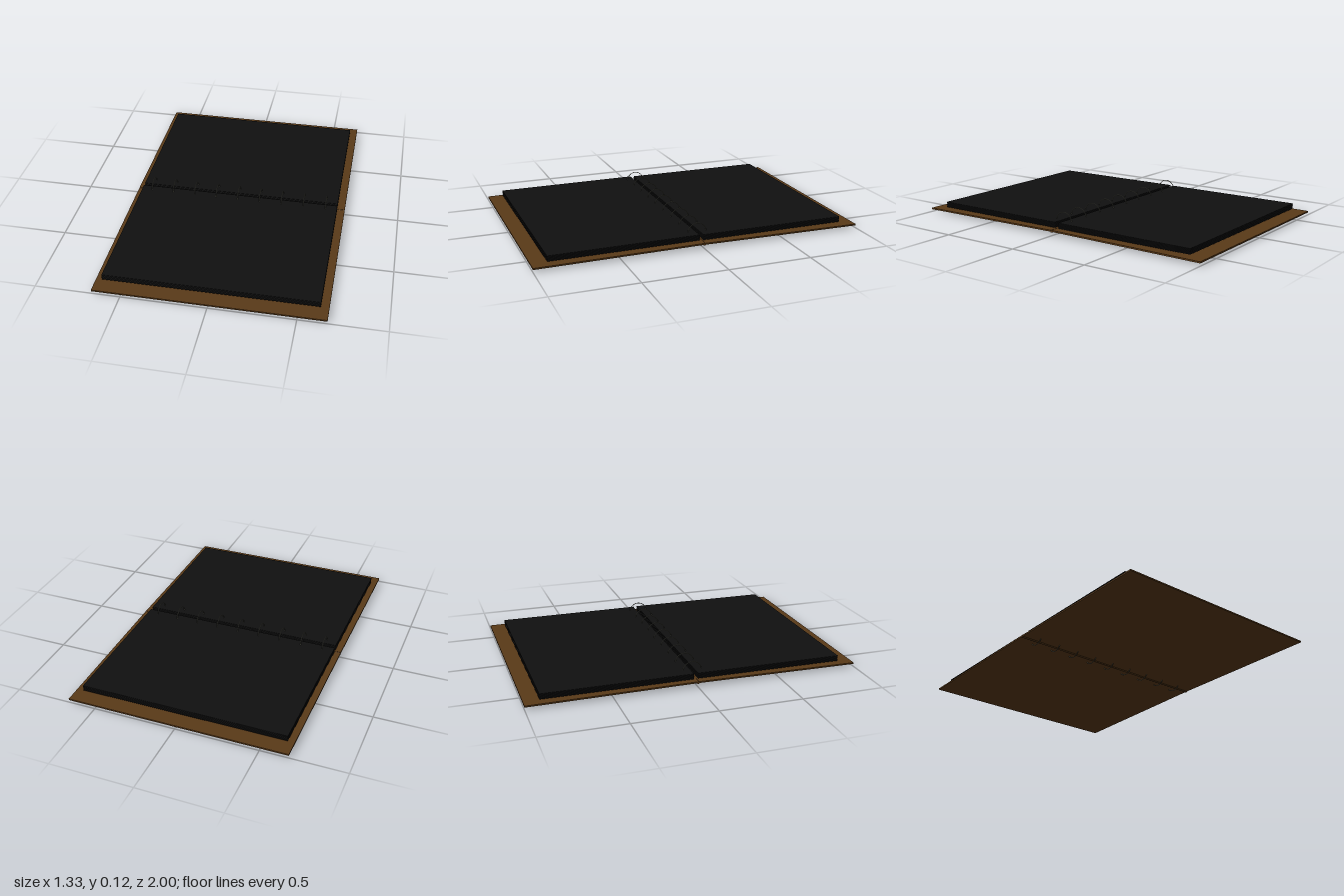
import * as THREE from 'three';

export function createModel() {
  const group = new THREE.Group();
  const leather = new THREE.MeshStandardMaterial({ color: 0x5a3a18 });
  const paper = new THREE.MeshStandardMaterial({ color: 0x101010 });
  const metal = new THREE.MeshStandardMaterial({ color: 0x6a6a5c });

  const add = (name, geometry, material, x, y, z) => {
    const mesh = new THREE.Mesh(geometry, material);
    mesh.name = name;
    mesh.position.set(x, y, z);
    group.add(mesh);
    return mesh;
  };

  // Two halves of the open binder, mirrored about the spine
  for (const side of [1, -1]) {
    const half = side > 0 ? 'front' : 'back';

    // Cover board, sloping down slightly away from the spine
    const cover = add(half + 'Cover', new THREE.BoxGeometry(1.334, 0.009, 0.995), leather, 0, 0.025, side * 0.5025);
    cover.rotation.x = side * 0.009;

    // Stack of thin separate sheets
    const sheets = 8;
    const tilt = side > 0 ? 0.004 : 0;
    for (let i = 0; i < sheets; i++) {
      const y = 0.037 + (0.031 * i) / (sheets - 1);
      const sheet = add(half + 'Sheet' + (i + 1), new THREE.BoxGeometry(1.25, 0.0022, 0.898), paper, -0.005, y, side * 0.461);
      sheet.rotation.x = tilt;
    }
  }

  // Spine rod between the covers
  const spine = add('spine', new THREE.CylinderGeometry(0.0075, 0.0075, 1.334, 16), leather, 0, 0.027, 0);
  spine.rotation.z = Math.PI / 2;

  // Row of binding rings
  const ringGeometry = new THREE.TorusGeometry(0.0575, 0.0022, 8, 40);
  ringGeometry.rotateY(Math.PI / 2);
  for (let i = 0; i < 9; i++) {
    add('ring' + (i + 1), ringGeometry, metal, -0.563 + i * 0.139, 0.0605, 0);
  }
  return group;
}
